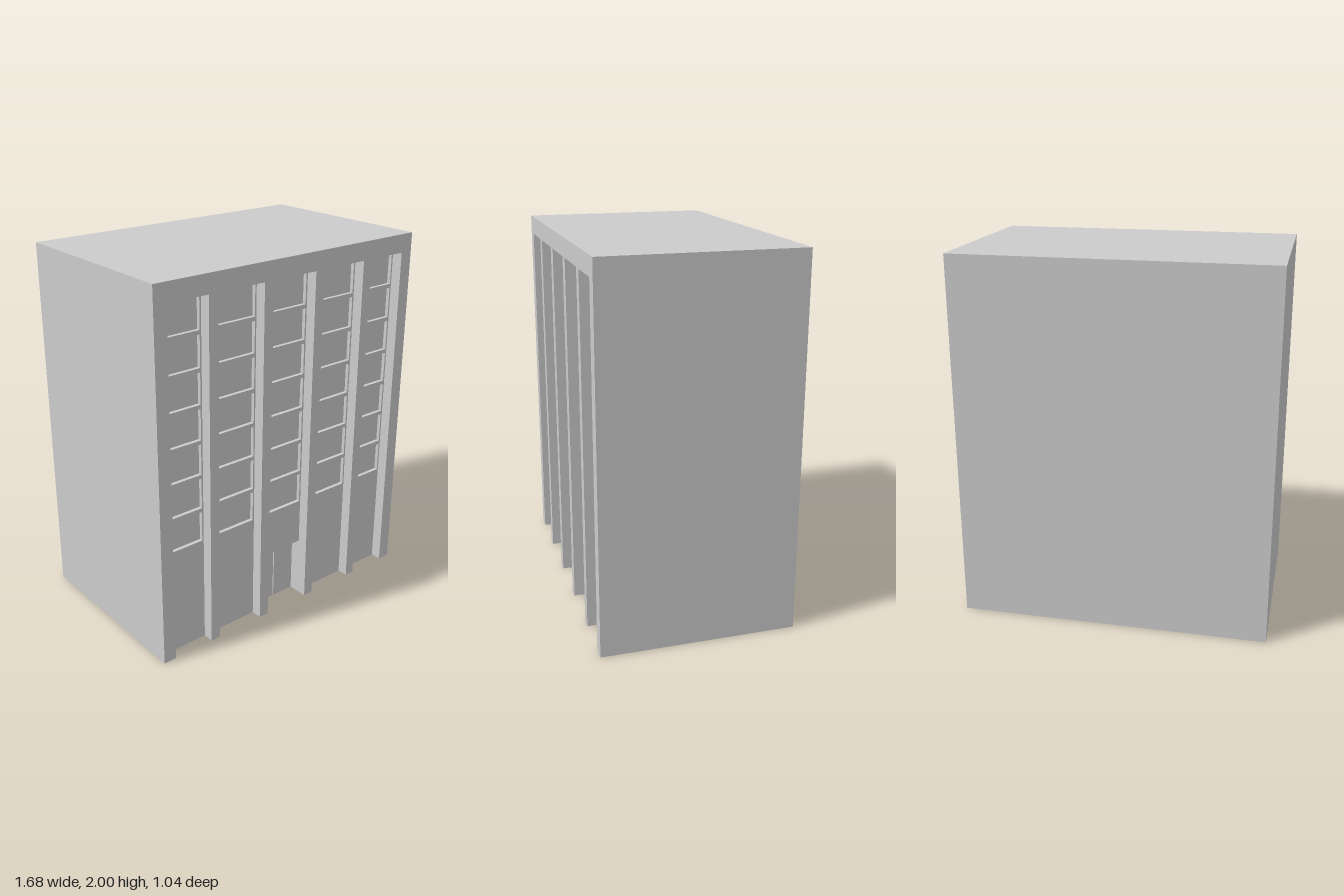
import * as THREE from 'three';

const W = 0.84, H = 2, D = 0.522;          // half width, height, half depth
const BAY_TOP = 1.9, DOOR_TOP = 0.335;
const WALL_Z = D - 0.06, PANE_Z = D - 0.08, DOOR_Z = D - 0.115;
const BAYS = [[-0.768, -0.534], [-0.478, -0.197], [-0.139, 0.139], [0.197, 0.478], [0.534, 0.768]];
const FLOORS = 7, SILL = 0.591, PITCH = 0.188, WINDOW_H = 0.166, MARGIN = 0.009;

const material = new THREE.MeshStandardMaterial({ color: 0xcccccc, side: THREE.DoubleSide, flatShading: true });

export function createModel() {
  const model = new THREE.Group();
  model.name = 'building';

  const add = (name, geometry, parent = model) => {
    const mesh = new THREE.Mesh(geometry, material);
    mesh.name = name;
    parent.add(mesh);
    return mesh;
  };
  const toPoints = (list) => list.map(([x, y]) => new THREE.Vector2(x, y));
  const rect = (x0, y0, x1, y1) => [[x0, y0], [x1, y0], [x1, y1], [x0, y1]];

  // flat facade layer at depth z, with optional holes
  const layer = (name, outline, z, parent, holes = []) => {
    const shape = new THREE.Shape(toPoints(outline));
    shape.holes = holes.map((h) => new THREE.Path(toPoints(h)));
    add(name, new THREE.ShapeGeometry(shape).translate(0, 0, z), parent);
  };

  // strip of wall along a path, joining two depths; path runs clockwise from bottom left
  const reveal = (name, path, zFront, zBack, parent) => {
    const v = [];
    for (let i = 0; i + 1 < path.length; i++) {
      const [ax, ay] = path[i], [bx, by] = path[i + 1];
      v.push(ax, ay, zFront, ax, ay, zBack, bx, by, zBack);
      v.push(ax, ay, zFront, bx, by, zBack, bx, by, zFront);
    }
    const g = new THREE.BufferGeometry();
    g.setAttribute('position', new THREE.Float32BufferAttribute(v, 3));
    g.computeVertexNormals();
    add(name, g, parent);
  };
  const arch = (x0, y0, x1, y1) => [[x0, y0], [x0, y1], [x1, y1], [x1, y0]];

  // outer shell, open underneath
  add('roof', new THREE.PlaneGeometry(2 * W, 2 * D).rotateX(-Math.PI / 2).translate(0, H, 0));
  add('backWall', new THREE.PlaneGeometry(2 * W, H).rotateY(Math.PI).translate(0, H / 2, -D));
  for (const s of [-1, 1]) {
    add(s > 0 ? 'leftWall' : 'rightWall',
      new THREE.PlaneGeometry(2 * D, H).rotateY(s * Math.PI / 2).translate(s * W, H / 2, 0));
  }

  // front piers and top band, notched by the bays
  const notches = BAYS.flatMap(([a, b]) => arch(a, 0, b, BAY_TOP));
  layer('piers', [[-W, 0], ...notches, [W, 0], [W, H], [-W, H]], D, model);

  BAYS.forEach(([a, b], i) => {
    const bay = new THREE.Group();
    bay.name = 'bay' + (i + 1);
    model.add(bay);
    const hasDoor = i === 2;
    reveal('bayReveal', arch(a, 0, b, BAY_TOP), D, WALL_Z, bay);

    // recessed wall with window openings
    const windows = [];
    for (let f = 0; f < FLOORS; f++) {
      const y = SILL + f * PITCH;
      windows.push(rect(a + MARGIN, y, b - MARGIN, y + WINDOW_H));
    }
    layer('bayWall', rect(a, hasDoor ? DOOR_TOP : 0, b, BAY_TOP), WALL_Z, bay, windows);
    for (const w of windows) {
      layer('windowPane', w, PANE_Z, bay);
      reveal('windowReveal', [w[0], w[3], w[2], w[1], w[0]], WALL_Z, PANE_Z, bay);
    }

    // double door set deeper under the lintel
    if (hasDoor) {
      const gap = 0.003, grooveZ = DOOR_Z - 0.01;
      reveal('doorReveal', arch(a, 0, b, DOOR_TOP), WALL_Z, DOOR_Z, bay);
      layer('rightDoor', rect(a, 0, -gap, DOOR_TOP), DOOR_Z, bay);
      layer('leftDoor', rect(gap, 0, b, DOOR_TOP), DOOR_Z, bay);
      layer('doorGroove', rect(-gap, 0, gap, DOOR_TOP), grooveZ, bay);
      reveal('doorGrooveSides', arch(-gap, 0, gap, DOOR_TOP), DOOR_Z, grooveZ, bay);
    }
  });

  return model;
}
